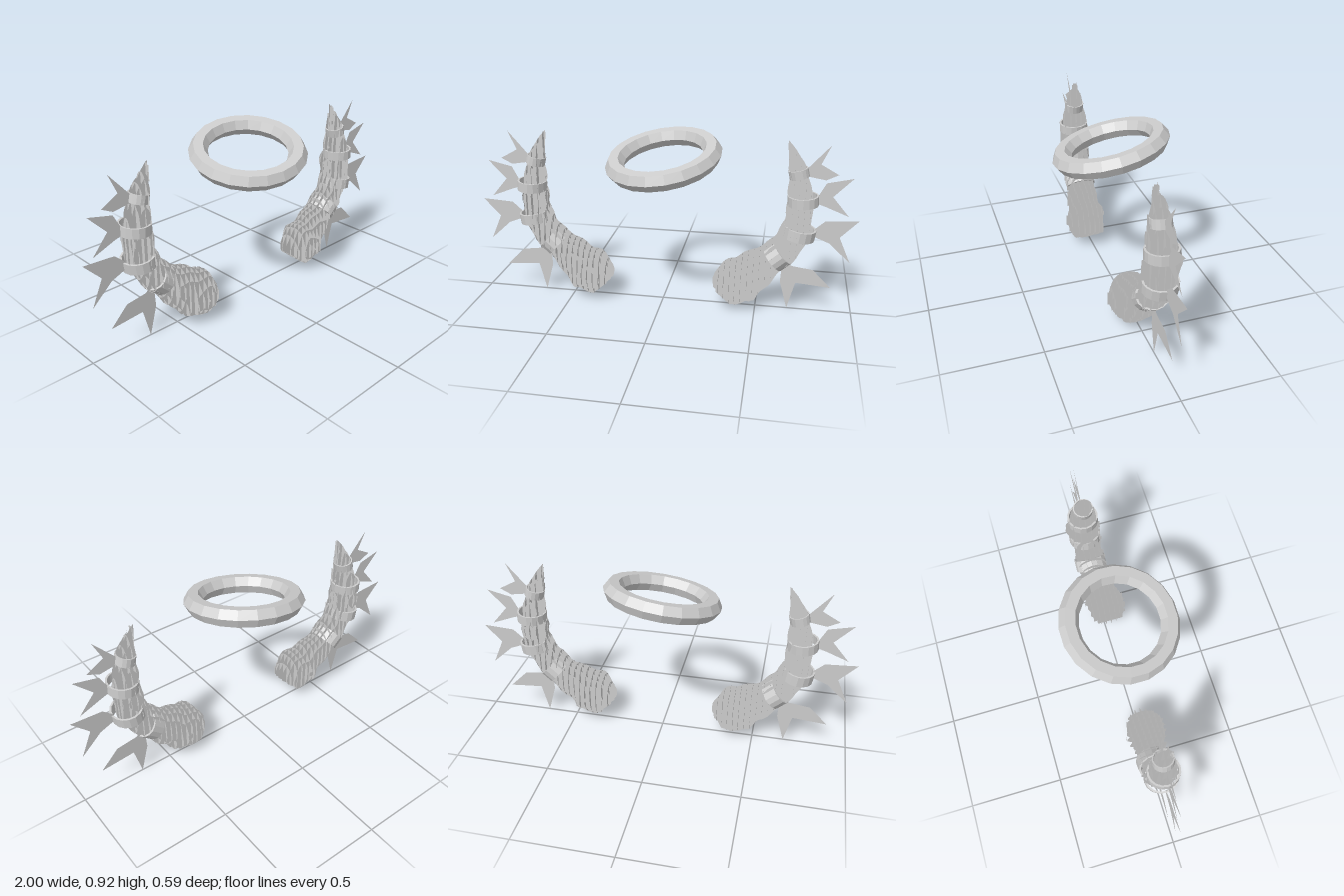
import * as THREE from 'three';

const grey = new THREE.MeshStandardMaterial({ color: 0xcccccc, flatShading: true, side: THREE.DoubleSide });
grey.name = 'pale grey';

// Horn stations from base to tip: x, y, z of the spine, then in-plane and depth radii
const stations = [
  [0.335, 0.09, 0.025, 0.08, 0.085], [0.39, 0.155, 0.025, 0.125, 0.11], [0.46, 0.21, 0.018, 0.115, 0.095],
  [0.55, 0.28, 0.005, 0.09, 0.082], [0.64, 0.37, 0, 0.08, 0.08], [0.69, 0.47, 0, 0.074, 0.083],
  [0.70, 0.58, -0.01, 0.066, 0.088], [0.695, 0.68, 0, 0.058, 0.07], [0.68, 0.78, 0, 0.045, 0.052],
  [0.655, 0.86, 0.003, 0.026, 0.032], [0.625, 0.935, 0.005, 0.003, 0.005],
];
const spine = new THREE.CatmullRomCurve3(stations.map(s => new THREE.Vector3(s[0], s[1], s[2])));
const radii = new THREE.CatmullRomCurve3(stations.map(s => new THREE.Vector3(s[3], s[4], 0)), false, 'catmullrom');
const STEPS = 50;

// Pairs of edge points along the horn where it is cut at depth z
function cut(z) {
  const pairs = [];
  for (let i = 0; i <= STEPS; i++) {
    const u = i / STEPS, p = spine.getPoint(u), t = spine.getTangent(u), r = radii.getPoint(u);
    const lump = 1 + 0.05 * Math.sin(u * 55) + 0.03 * Math.sin(u * 31 + z * 40);
    const w = r.x * lump * Math.sqrt(Math.max(0, 1 - ((z - p.z) / (r.y * lump)) ** 2));
    const l = Math.hypot(t.x, t.y), nx = -t.y / l * w, ny = t.x / l * w;
    pairs.push({ a: [p.x + nx, p.y + ny], b: [p.x - nx, p.y - ny], w });
  }
  return pairs;
}

// Heights at which the cut's outline crosses a given x, as [low, high] runs
function runsAt(pairs, x) {
  const loop = [...pairs.map(p => p.a), ...pairs.map(p => p.b).reverse()], ys = [];
  loop.forEach((p, i) => {
    const q = loop[(i + 1) % loop.length];
    if ((p[0] < x) !== (q[0] < x)) ys.push(p[1] + (q[1] - p[1]) * (x - p[0]) / (q[0] - p[0]));
  });
  ys.sort((m, n) => m - n);
  const runs = [];
  for (let i = 0; i + 1 < ys.length; i += 2) if (ys[i + 1] - ys[i] > 0.001) runs.push([ys[i], ys[i + 1]]);
  return runs;
}

// The horn is a lattice of flat slices, some facing z and some facing x
function hornGeometry() {
  const pos = [];
  const quad = (a, b, c, d) => pos.push(...a, ...b, ...c, ...a, ...c, ...d);
  for (let k = -3; k <= 4; k++) {
    const z = k * 0.03, pairs = cut(z);
    for (let i = 0; i < STEPS; i++) {
      const p = pairs[i], q = pairs[i + 1];
      if (p.w + q.w > 0) quad([...p.a, z], [...p.b, z], [...q.b, z], [...q.a, z]);
    }
  }
  const dz = 0.008, columns = [];
  for (let z = -0.12; z < 0.15; z += dz) columns.push({ z, pairs: cut(z) });
  for (let x = 0.305; x < 0.78; x += 0.03) {
    for (let i = 0; i + 1 < columns.length; i++) {
      const z0 = columns[i].z, z1 = columns[i + 1].z;
      const r0 = runsAt(columns[i].pairs, x), r1 = runsAt(columns[i + 1].pairs, x);
      const same = r0.length === r1.length;
      r0.forEach((r, j) => {
        const s = same ? r1[j] : r;
        quad([x, r[0], z0], [x, s[0], z1], [x, s[1], z1], [x, r[1], z0]);
      });
    }
  }
  const g = new THREE.BufferGeometry();
  g.setAttribute('position', new THREE.Float32BufferAttribute(pos, 3));
  g.computeVertexNormals();
  return g;
}

// Hollow bands: centre, radius across, radius in depth, height, lean
const bands = [
  { x: 0.605, y: 0.32, rx: 0.074, rz: 0.088, h: 0.068, lean: -0.84 },
  { x: 0.708, y: 0.455, rx: 0.082, rz: 0.088, h: 0.055, lean: -0.14 },
  { x: 0.715, y: 0.63, rx: 0.078, rz: 0.083, h: 0.05, lean: 0.05 },
  { x: 0.685, y: 0.77, rx: 0.05, rz: 0.053, h: 0.045, lean: 0.24 },
];

// Flat forked spikes, one on the outside of each band
const forks = [
  [[0.65, 0.29], [0.68, 0.265], [0.79, 0.25], [0.885, 0.155], [0.705, 0.17], [0.667, 0.02], [0.625, 0.17], [0.63, 0.26]],
  [[0.785, 0.48], [0.835, 0.525], [1.0, 0.535], [0.91, 0.44], [0.97, 0.305], [0.86, 0.405], [0.785, 0.435]],
  [[0.785, 0.65], [0.825, 0.725], [0.955, 0.755], [0.86, 0.655], [0.945, 0.555], [0.83, 0.6], [0.785, 0.615]],
  [[0.725, 0.795], [0.76, 0.835], [0.835, 0.92], [0.79, 0.82], [0.88, 0.77], [0.82, 0.74], [0.73, 0.755]],
];

function add(parent, geometry, name) {
  const m = new THREE.Mesh(geometry, grey);
  m.name = name;
  parent.add(m);
  return m;
}

function makeHorn(name) {
  const g = new THREE.Group();
  g.name = name;
  add(g, hornGeometry(), 'hornSlices');
  bands.forEach((b, i) => {
    const h = b.h / 2, inner = 0.88;
    const profile = [[1, -h], [1, h], [inner, h], [inner, -h], [1, -h]].map(p => new THREE.Vector2(...p));
    const band = add(g, new THREE.LatheGeometry(profile, 16), 'band' + (i + 1));
    band.scale.set(b.rx, 1, b.rz);
    band.rotation.z = b.lean;
    band.position.set(b.x, b.y, 0);
  });
  forks.forEach((f, i) => {
    const shape = new THREE.Shape(f.map(p => new THREE.Vector2(...p)));
    add(g, new THREE.ShapeGeometry(shape), 'forkedSpike' + (i + 1));
  });
  return g;
}

export function createModel() {
  const model = new THREE.Group();
  model.name = 'hornsAndHalo';
  const left = makeHorn('leftHorn'), right = makeHorn('rightHorn');
  right.scale.x = -1;
  model.add(left, right);

  // Tilted six-sided ring
  const halo = add(model, new THREE.TorusGeometry(0.255, 0.05, 6, 20), 'halo');
  const up = new THREE.Vector3(-0.14, 1, 0.21).normalize();
  halo.quaternion.setFromUnitVectors(new THREE.Vector3(0, 0, 1), up);
  halo.position.y = 0.815;
  return model;
}
